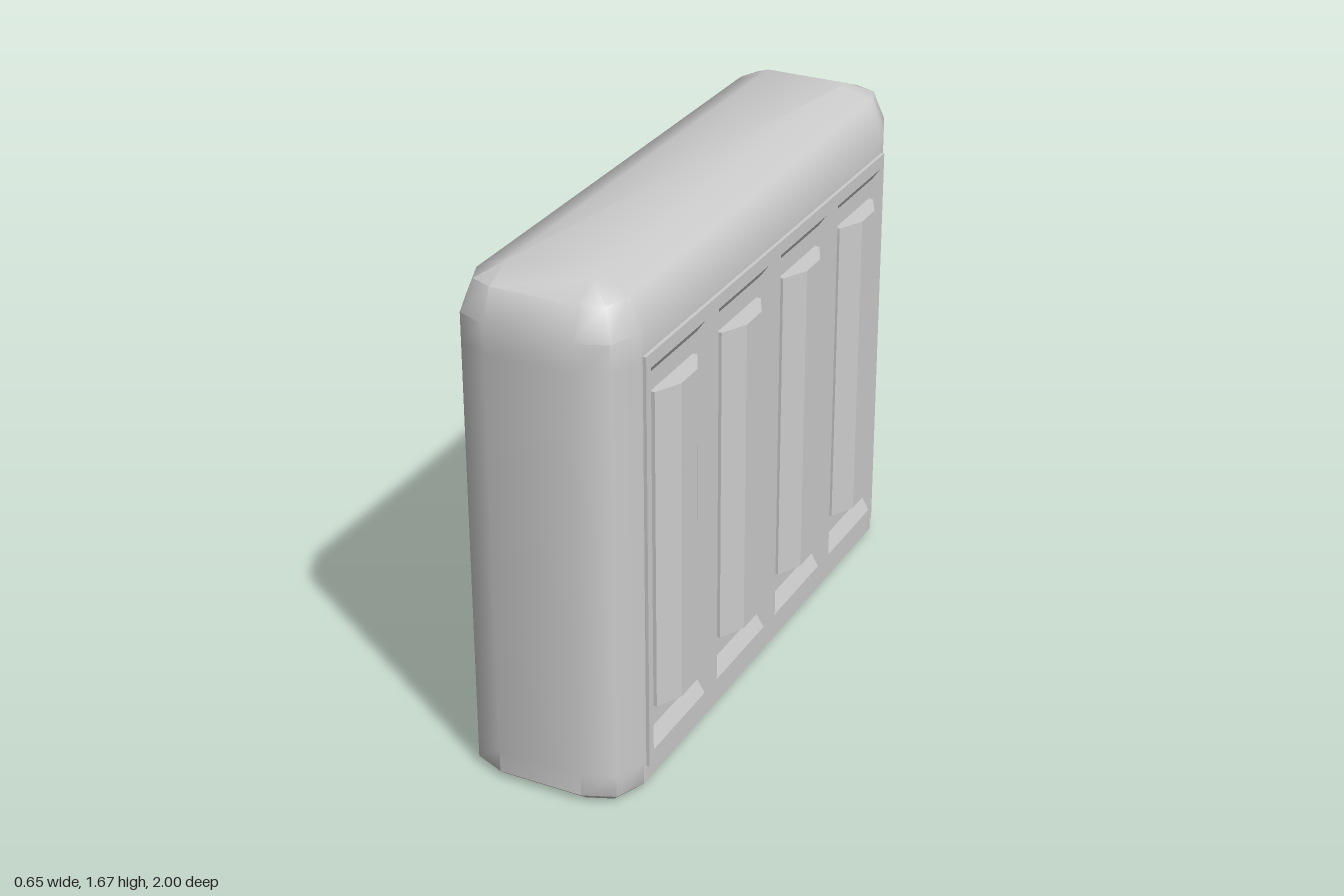
import * as THREE from 'three';
import { toCreasedNormals } from 'three/addons/utils/BufferGeometryUtils.js';

const material = new THREE.MeshStandardMaterial({ color: 0xcccccc });

function addMesh(parent, geometry, name) {
  const mesh = new THREE.Mesh(geometry, material);
  mesh.name = name;
  parent.add(mesh);
  return mesh;
}

// Skins closed loops of Vector3; skip(level, side) leaves openings.
function loft(loops, { capStart = false, capEnd = false, skip = () => false } = {}) {
  const n = loops[0].length;
  const pos = [];
  const tri = (a, b, c) => pos.push(...a.toArray(), ...b.toArray(), ...c.toArray());
  const cap = (loop, flip) => {
    const mid = loop.reduce((s, p) => s.add(p), new THREE.Vector3()).divideScalar(n);
    loop.forEach((p, i) => {
      const q = loop[(i + 1) % n];
      flip ? tri(q, p, mid) : tri(p, q, mid);
    });
  };
  for (let k = 0; k < loops.length - 1; k++) {
    for (let i = 0; i < n; i++) {
      if (skip(k, i)) continue;
      const j = (i + 1) % n;
      const [a, b, c, d] = [loops[k][i], loops[k][j], loops[k + 1][j], loops[k + 1][i]];
      if (a.distanceTo(b) > 1e-6) tri(a, b, c);
      if (c.distanceTo(d) > 1e-6) tri(a, c, d);
    }
  }
  if (capStart) cap(loops[0], true);
  if (capEnd) cap(loops[loops.length - 1], false);
  const geometry = new THREE.BufferGeometry();
  geometry.setAttribute('position', new THREE.Float32BufferAttribute(pos, 3));
  geometry.computeVertexNormals();
  return geometry;
}

// Rounded rectangle around the body, with extra points beside the panel openings.
function bodyLoop(y, inset) {
  const r = 0.14 - inset, cx = 0.14, cz = 0.86;
  const points = [];
  [[1, 1], [1, -1], [-1, -1], [-1, 1]].forEach(([sx, sz], c) => {
    for (let s = 0; s < 3; s++) {
      const a = (c + s / 2) * Math.PI / 2;
      points.push(new THREE.Vector3(sx * cx + r * Math.sin(a), y, sz * cz + r * Math.cos(a)));
    }
    if (c % 2 === 0) {
      for (const t of [1, -1]) points.push(new THREE.Vector3(sx * (cx + r), y, sz * t * 0.83));
    }
  });
  return points;
}

// Rectangle in the z-y plane, counter-clockwise seen from +x.
const slotLoop = (x, z, half, y0, y1) => [
  new THREE.Vector3(x, y0, z + half), new THREE.Vector3(x, y0, z - half),
  new THREE.Vector3(x, y1, z - half), new THREE.Vector3(x, y1, z + half),
];

const slotCentres = [-0.645, -0.215, 0.215, 0.645];
const SLOT = { half: 0.172, y0: 0.125, y1: 1.41 };

function rectPath(target, u, half, y0, y1) {
  target.moveTo(u - half, y0);
  target.lineTo(u + half, y0);
  target.lineTo(u + half, y1);
  target.lineTo(u - half, y1);
  target.closePath();
  return target;
}

function createSide() {
  const side = new THREE.Group();

  // Thin frame with four windows
  const shape = rectPath(new THREE.Shape(), 0, 0.845, 0.08, 1.455);
  for (const z of slotCentres) {
    shape.holes.push(rectPath(new THREE.Path(), z, SLOT.half, SLOT.y0, SLOT.y1));
  }
  const frame = new THREE.ExtrudeGeometry(shape, { depth: 0.025, bevelEnabled: false });
  frame.rotateY(Math.PI / 2).translate(0.266, 0, 0);
  addMesh(side, frame, 'panelFrame');

  // Faceted bulge profile
  const bulge = new THREE.Shape([
    [0.26, -0.135], [0.283, -0.135], [0.325, -0.05],
    [0.325, 0.05], [0.283, 0.135], [0.26, 0.135],
  ].map(([x, z]) => new THREE.Vector2(x, z)));

  for (const z of slotCentres) {
    // Sloped recess, deeper than the frame face
    const recess = loft([
      slotLoop(0.291, z, SLOT.half, SLOT.y0, SLOT.y1),
      slotLoop(0.268, z, 0.161, 0.18, 1.375),
    ], { capEnd: true });
    addMesh(side, recess, 'slotRecess');

    const bar = new THREE.ExtrudeGeometry(bulge, { depth: 1.06, bevelEnabled: false });
    bar.rotateX(-Math.PI / 2).translate(0, 0.255, z);
    addMesh(side, bar, 'slotBar');
  }
  return side;
}

export function createModel() {
  const model = new THREE.Group();
  model.name = 'slottedBlock';

  // Rounded body, open behind the two side panels
  const levels = [
    [0, 0.028], [0.025, 0], [0.1, 0], [1.44, 0],
    [1.53, 0], [1.629, 0.041], [1.67, 0.14],
  ];
  const body = loft(levels.map(([y, inset]) => bodyLoop(y, inset)), {
    capStart: true,
    capEnd: true,
    skip: (level, i) => level === 2 && (i === 3 || i === 11),
  });
  addMesh(model, toCreasedNormals(body, 0.84), 'body');

  // Matching panels on both sides
  const left = createSide();
  left.name = 'leftPanel';
  const right = createSide();
  right.name = 'rightPanel';
  right.rotation.y = Math.PI;
  model.add(left, right);
  return model;
}
